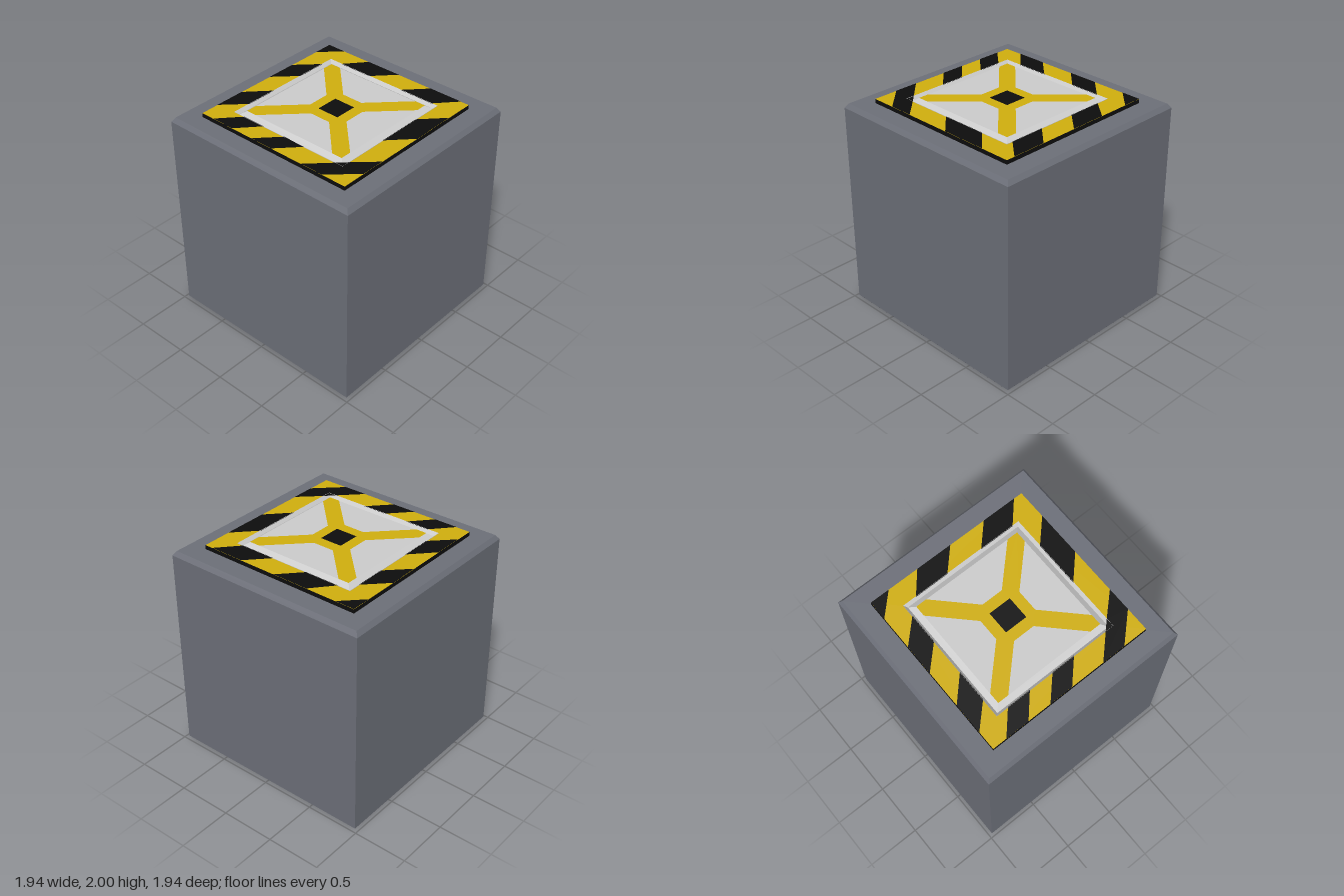
import * as THREE from 'three';

const mat = (color) => new THREE.MeshStandardMaterial({ color, flatShading: true });
const steel = mat(0x6c6f78);
const yellow = mat(0xd0ae0e);
const black = mat(0x0d0d0d);
const grey = mat(0xbebebe);

function named(name, geometry, material) {
  const mesh = new THREE.Mesh(geometry, material);
  mesh.name = name;
  return mesh;
}

// Square solid from a profile of [half width, height], running bottom to top
function squareLathe(profile) {
  const points = profile.map(([half, y]) => new THREE.Vector2(half * Math.SQRT2, y));
  return new THREE.LatheGeometry(points, 4, Math.PI / 4);
}

// Flat upward-facing outline from [x, z] corners
const outline = (corners) => new THREE.Shape(corners.map(([x, z]) => new THREE.Vector2(x, -z)));
const flat = (corners, y) =>
  new THREE.ShapeGeometry(outline(corners)).rotateX(-Math.PI / 2).translate(0, y, 0);
const square = (h) => [[-h, -h], [h, -h], [h, h], [-h, h]];

export function createModel() {
  const model = new THREE.Group();
  model.name = 'crate';

  // Main block with chamfered top edge and a fine lower edge
  model.add(named('body', squareLathe([
    [0, 0], [0.96, 0], [0.97, 0.012], [0.97, 1.91], [0.942, 1.95], [0, 1.95],
  ]), steel));

  const top = new THREE.Group();
  top.name = 'topPanel';
  top.position.z = 0.01;
  model.add(top);

  // Raised border: yellow face, black sides
  const ring = outline(square(0.78));
  ring.holes.push(outline(square(0.592)));
  const border = new THREE.ExtrudeGeometry(ring, { depth: 0.038, bevelEnabled: false });
  border.rotateX(-Math.PI / 2).translate(0, 1.95, 0);
  top.add(named('border', border, [yellow, black]));

  // Diagonal warning stripes
  const stripes = [
    [[-0.78, -0.78], [-0.6, -0.78], [-0.78, -0.6]],
    [[-0.31, -0.78], [0.03, -0.78], [-0.15, -0.59], [-0.47, -0.59]],
    [[0.38, -0.78], [0.7, -0.78], [0.53, -0.59], [0.2, -0.59]],
    [[-0.78, -0.29], [-0.59, -0.48], [-0.59, -0.2], [-0.78, -0.01]],
    [[-0.78, 0.33], [-0.59, 0.13], [-0.59, 0.42], [-0.78, 0.61]],
    [[0.59, -0.31], [0.78, -0.51], [0.78, -0.09], [0.59, 0.11]],
    [[0.78, 0.34], [0.78, 0.56], [0.55, 0.78], [0.33, 0.78], [0.52, 0.59], [0.59, 0.52]],
    [[-0.48, 0.59], [-0.26, 0.59], [-0.43, 0.78], [-0.65, 0.78]],
    [[-0.03, 0.59], [0.19, 0.59], [0.01, 0.78], [-0.21, 0.78]],
  ];
  stripes.forEach((corners) => top.add(named('stripe', flat(corners, 1.99), black)));

  // Lid: sloping groove around a bevelled raised panel
  top.add(named('lid', squareLathe([
    [0.595, 1.95], [0.595, 1.992], [0.57, 1.962], [0.52, 1.996], [0, 1.996],
  ]), grey));

  // Yellow cross, one arm outline turned through four quarters
  const arm = [[0.2, 0.1], [0.52, 0.42], [0.52, 0.52], [0.42, 0.52], [0.1, 0.2]];
  const cross = [];
  for (let i = 0; i < 4; i++) {
    const c = [1, 0, -1, 0][i], s = [0, 1, 0, -1][i];
    arm.forEach(([x, z]) => cross.push([x * c - z * s, x * s + z * c]));
  }
  top.add(named('cross', flat(cross, 1.998), yellow));
  top.add(named('centreSquare', flat(square(0.104), 2), black));

  return model;
}
